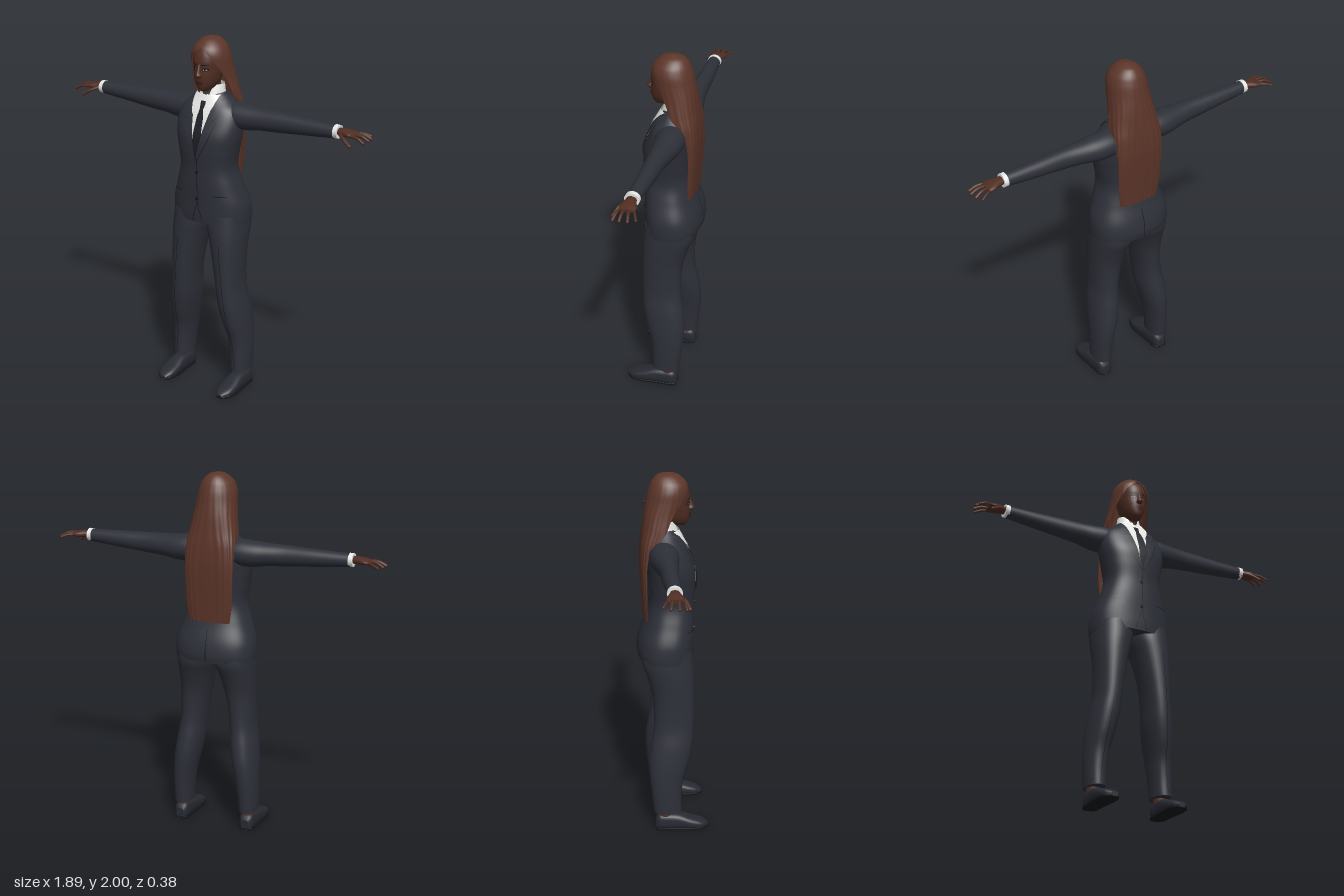
import * as THREE from 'three';

const mat = (name, color, side = THREE.FrontSide) => {
  const m = new THREE.MeshStandardMaterial({ color, side });
  m.name = name;
  return m;
};
const suit = mat('suit cloth', 0x2e3039, THREE.DoubleSide);
const seam = mat('dark seam', 0x15161a, THREE.DoubleSide);
const tieMat = mat('tie cloth', 0x1d1e25, THREE.DoubleSide);
const white = mat('white shirt', 0xe6e6e4, THREE.DoubleSide);
const skin = mat('skin', 0x502e23);
const hairMat = mat('hair', 0x5c3529, THREE.DoubleSide);
const lipMat = mat('lips', 0x3c1d1a, THREE.DoubleSide);
const leather = mat('shoe leather', 0x282a33);
const eyeMat = mat('eye white', 0x8f857d, THREE.DoubleSide);

// Smoothly interpolate section rows: [height, centreX, radiusX, front, back, power, opening]
function sectionAt(rows, t) {
  let i = 0;
  while (i < rows.length - 2 && t > rows[i + 1][0]) i++;
  const a = rows[i], b = rows[i + 1], h = b[0] - a[0];
  const s = Math.min(1, Math.max(0, (t - a[0]) / h));
  const p = rows[Math.max(0, i - 1)], q = rows[Math.min(rows.length - 1, i + 2)];
  return a.map((v, k) => {
    const m0 = (b[k] - p[k]) / (b[0] - p[0]) * h, m1 = (q[k] - v) / (q[0] - v0(a)) * h;
    const s2 = s * s, s3 = s2 * s;
    return v * (2 * s3 - 3 * s2 + 1) + m0 * (s3 - 2 * s2 + s) + b[k] * (3 * s2 - 2 * s3) + m1 * (s3 - s2);
  });
}
function v0(row) { return row[0]; }

// Loft rounded sections along y; an opening angle leaves the front uncovered
function loft(rows, { steps = 40, sides = 36, open = false, cap = true, bump = () => 0 } = {}) {
  const pos = [], idx = [], n = open ? sides + 1 : sides;
  const y0 = rows[0][0], y1 = rows[rows.length - 1][0];
  for (let i = 0; i <= steps; i++) {
    const [y, cx, rx, f, b, p = 2, op = 0] = sectionAt(rows, y0 + (y1 - y0) * i / steps);
    const gap = open ? Math.max(0, op) * Math.PI / 180 : 0;
    for (let j = 0; j < n; j++) {
      const a = gap + (2 * Math.PI - 2 * gap) * j / sides;
      const s = Math.sin(a), c = Math.cos(a), k = 1 + bump(a, y);
      pos.push(cx + k * rx * Math.sign(s) * Math.abs(s) ** (2 / p), y,
        (f + b) / 2 + k * (f - b) / 2 * Math.sign(c) * Math.abs(c) ** (2 / p));
    }
  }
  for (let i = 0; i < steps; i++) for (let j = 0; j < sides; j++) {
    const a = i * n + j, b = i * n + (j + 1) % n;
    idx.push(a, b, a + n, b, b + n, a + n);
  }
  if (cap && !open) for (const i of [0, steps]) {
    const start = pos.length / 3, r = sectionAt(rows, i ? y1 : y0);
    for (let j = 0; j < n; j++) pos.push(...pos.slice((i * n + j) * 3, (i * n + j) * 3 + 3));
    pos.push(r[1], r[0], (r[3] + r[4]) / 2);
    for (let j = 0; j < n; j++) {
      const a = start + j, b = start + (j + 1) % n;
      idx.push(...(i ? [a, b, start + n] : [b, a, start + n]));
    }
  }
  return surface(pos, idx);
}

function surface(pos, idx) {
  const g = new THREE.BufferGeometry();
  g.setAttribute('position', new THREE.Float32BufferAttribute(pos, 3));
  g.setIndex(idx);
  g.computeVertexNormals();
  return g;
}

// Thin plate following a lofted body; edge rows are [y, x0, x1]
function patch(body, edges, off = 0.004, face = 1) {
  const pos = [], idx = [], per = 10, across = 6, n = across + 1;
  const total = (edges.length - 1) * per;
  for (let i = 0; i <= total; i++) {
    const e = Math.min(edges.length - 2, Math.floor(i / per)), s = i / per - e;
    const [y, x0, x1] = edges[e].map((v, k) => v + (edges[e + 1][k] - v) * s);
    const [, cx, rx, f, b, p = 2] = sectionAt(body, y);
    for (let j = 0; j <= across; j++) {
      const x = x0 + (x1 - x0) * j / across, u = Math.min(1, Math.abs((x - cx) / rx));
      pos.push(x, y, (f + b) / 2 + face * ((f - b) / 2 * (1 - u ** p) ** (1 / p) + off));
    }
  }
  for (let i = 0; i < total; i++) for (let j = 0; j < across; j++) {
    const a = i * n + j;
    idx.push(...(face > 0 ? [a, a + 1, a + n, a + 1, a + n + 1, a + n] : [a, a + n, a + 1, a + 1, a + n, a + n + 1]));
  }
  return surface(pos, idx);
}
const line = (body, pts, off = 0.002, w = 0.002, face = 1) =>
  patch(body, pts.map(([y, x]) => [y, x - w, x + w]), off, face);

export function createModel() {
  const root = new THREE.Group();
  root.name = 'womanInSuit';
  const add = (name, geo, m) => {
    const mesh = new THREE.Mesh(geo, m);
    mesh.name = name;
    root.add(mesh);
  };
  const pair = (name, geo, m) => {
    add(name + 'Left', geo, m);
    const g = geo.clone().scale(-1, 1, 1), a = g.index.array;
    for (let i = 0; i < a.length; i += 3) [a[i], a[i + 1]] = [a[i + 1], a[i]];
    add(name + 'Right', g, m);
  };

  // Jacket body
  const torso = [
    [0.99, 0, 0.223, 0.116, -0.182, 2.4], [1.03, 0, 0.225, 0.119, -0.188, 2.4], [1.1, 0, 0.22, 0.121, -0.178, 2.4],
    [1.2, 0, 0.187, 0.125, -0.145, 2.4], [1.3, 0, 0.16, 0.126, -0.122, 2.4], [1.4, 0, 0.172, 0.132, -0.124, 2.4],
    [1.48, 0, 0.186, 0.128, -0.13, 2.4], [1.56, 0, 0.19, 0.1, -0.135, 2.4], [1.62, 0, 0.172, 0.072, -0.13, 2.4],
    [1.66, 0, 0.125, 0.05, -0.115, 2.2], [1.7, 0, 0.08, 0.028, -0.095, 2]];
  add('jacketBody', loft(torso, { steps: 60, sides: 48 }), suit);

  // Shirt, tie and collar
  add('shirtFront', patch(torso, [[1.36, -0.004, 0.004], [1.6, -0.05, 0.05], [1.69, -0.07, 0.07]], 0.002), white);
  add('tie', patch(torso, [[1.35, -0.004, 0.014], [1.45, -0.02, 0.036], [1.58, -0.016, 0.024], [1.62, -0.011, 0.011], [1.66, -0.018, 0.018]], 0.006), tieMat);
  add('shirtCollar', loft([[1.66, 0, 0.078, 0.05, -0.1, 2, 14], [1.7, 0, 0.072, 0.036, -0.092, 2, 18], [1.745, 0, 0.066, 0.02, -0.085, 2, 32]],
    { open: true, steps: 8 }), white);
  pair('collarWing', patch(torso, [[1.59, 0.04, 0.046], [1.64, 0.02, 0.066], [1.695, 0.01, 0.077]], 0.012), white);

  // Lapels and jacket details
  pair('lapel', patch(torso, [[1.36, 0.002, 0.012], [1.45, 0.026, 0.062], [1.56, 0.048, 0.1], [1.57, 0.05, 0.078], [1.6, 0.056, 0.102], [1.68, 0.07, 0.1]], 0.009), suit);
  pair('lapelSeam', line(torso, [[1.36, 0.013], [1.45, 0.064], [1.56, 0.102], [1.57, 0.08], [1.6, 0.104]], 0.006), seam);
  add('frontSeam', line(torso, [[1.1, 0.004], [1.36, 0.004]]), seam);
  pair('frontCutaway', line(torso, [[0.995, 0.032], [1.04, 0.022], [1.1, 0.002]]), seam);
  add('backVent', line(torso, [[0.995, 0], [1.17, 0]], 0.002, 0.002, -1), seam);
  pair('pocketFlap', patch(torso, [[1.125, 0.105, 0.17], [1.155, 0.1, 0.165]], 0.006), suit);
  pair('pocketSeam', patch(torso, [[1.155, 0.1, 0.168], [1.16, 0.1, 0.168]], 0.006), seam);
  for (const y of [1.28, 1.13])
    add('jacketButton', new THREE.CylinderGeometry(0.009, 0.009, 0.008, 16).rotateX(Math.PI / 2).translate(0.002, y, 0.127), seam);

  // Sleeves, cuffs and hands, lofted upright then laid along x
  const sideways = (rows, o) => loft(rows, o).rotateZ(-Math.PI / 2);
  pair('sleeve', sideways([
    [0.08, -1.585, 0.066, 0.03, -0.12, 2], [0.15, -1.585, 0.072, 0.034, -0.125, 2], [0.22, -1.583, 0.07, 0.028, -0.12, 2],
    [0.3, -1.586, 0.061, 0.018, -0.105, 2], [0.4, -1.588, 0.056, 0.01, -0.09, 2], [0.55, -1.592, 0.047, 0.002, -0.084, 2],
    [0.755, -1.598, 0.035, -0.004, -0.074, 2]]), suit);
  pair('shirtCuff', sideways([[0.745, -1.6, 0.036, 0, -0.077], [0.768, -1.6, 0.035, 0, -0.077]], { steps: 3 }), white);
  pair('palm', sideways([
    [0.75, -1.602, 0.018, -0.016, -0.06, 2.2], [0.79, -1.602, 0.02, -0.01, -0.07, 2.2],
    [0.83, -1.6, 0.016, 0.002, -0.085, 2.4], [0.862, -1.598, 0.009, -0.002, -0.084, 2.4]], { steps: 14, sides: 24 }), skin);
  const fingers = [
    [[0.845, 1.598, -0.008], [0.89, 1.595, 0.0], [0.925, 1.578, 0.006]],
    [[0.85, 1.6, -0.03], [0.9, 1.6, -0.03], [0.935, 1.584, -0.03]],
    [[0.85, 1.6, -0.053], [0.895, 1.6, -0.062], [0.93, 1.584, -0.07]],
    [[0.845, 1.598, -0.075], [0.88, 1.597, -0.09], [0.912, 1.586, -0.105]],
    [[0.78, 1.598, -0.02], [0.815, 1.582, 0.008], [0.86, 1.556, 0.026]]];
  fingers.forEach((pts, i) => {
    const curve = new THREE.CatmullRomCurve3(pts.map(p => new THREE.Vector3(...p)));
    const r = i === 4 ? 0.0095 : i === 3 ? 0.0065 : 0.008, name = i === 4 ? 'thumb' : 'finger';
    pair(name, new THREE.TubeGeometry(curve, 8, r, 10), skin);
    pair(name + 'Tip', new THREE.SphereGeometry(r, 10, 8).translate(...pts[2]), skin);
  });

  // Trousers with front creases
  const leg = [
    [0.105, 0.197, 0.05, 0.045, -0.11, 2.2], [0.2, 0.195, 0.055, 0.045, -0.12, 2.2], [0.3, 0.188, 0.061, 0.055, -0.13, 2.2],
    [0.4, 0.175, 0.069, 0.085, -0.134, 2.2], [0.5, 0.161, 0.073, 0.105, -0.122, 2.2], [0.6, 0.149, 0.069, 0.114, -0.106, 2.2],
    [0.7, 0.141, 0.074, 0.117, -0.104, 2.2], [0.8, 0.132, 0.084, 0.118, -0.112, 2.2], [0.9, 0.121, 0.098, 0.117, -0.14, 2.2],
    [0.97, 0.11, 0.109, 0.113, -0.165, 2.2], [1.04, 0.107, 0.108, 0.105, -0.165, 2.2]];
  pair('trouserLeg', loft(leg, { steps: 50 }), suit);
  pair('trouserCrease', line(leg, [[0.12, 0.2], [0.4, 0.176], [0.88, 0.135]], 0.0015, 0.0015), seam);

  // Ankles and shoes, the shoes lofted upright then laid along z
  pair('ankle', loft([[0.05, 0.2, 0.034, -0.01, -0.088], [0.16, 0.2, 0.036, 0, -0.085]], { steps: 4, sides: 20 }), skin);
  const shoe = [
    [-0.1, 0.2, 0.022, 0, -0.062, 3], [-0.085, 0.2, 0.037, 0, -0.088, 3], [-0.03, 0.2, 0.042, 0, -0.092, 3],
    [0.03, 0.2, 0.046, 0, -0.088, 2.8], [0.1, 0.2, 0.051, 0, -0.064, 2.8], [0.16, 0.199, 0.043, 0, -0.043, 2.8], [0.193, 0.195, 0.018, 0, -0.024, 2.8]];
  pair('shoe', loft(shoe, { steps: 30, sides: 28 }).rotateX(Math.PI / 2), leather);
  const sole = shoe.map(([z, cx, rx]) => [z, cx, rx + 0.002, 0, -0.014, 8]);
  pair('sole', loft(sole, { steps: 30, sides: 28 }).rotateX(Math.PI / 2), seam);

  // Neck, head and face
  add('neck', loft([[1.64, 0, 0.062, 0.02, -0.085], [1.7, 0, 0.048, 0.022, -0.075], [1.79, 0, 0.046, 0.03, -0.07]], { steps: 10 }), skin);
  const head = [
    [1.716, 0, 0.018, 0.074, 0.02, 2], [1.728, 0, 0.036, 0.088, -0.02, 2], [1.76, 0, 0.056, 0.096, -0.06, 2.2],
    [1.8, 0, 0.068, 0.1, -0.085, 2.2], [1.84, 0, 0.075, 0.098, -0.095, 2.2], [1.88, 0, 0.077, 0.1, -0.1, 2.2],
    [1.93, 0, 0.07, 0.084, -0.09, 2.2], [1.965, 0, 0.05, 0.05, -0.07, 2], [1.985, 0, 0.015, 0, -0.03, 2]];
  add('head', loft(head), skin);
  add('nose', loft([[1.793, 0, 0.012, 0.112, 0.08], [1.806, 0, 0.018, 0.125, 0.08], [1.82, 0, 0.012, 0.12, 0.08], [1.865, 0, 0.007, 0.102, 0.08]],
    { steps: 14, sides: 16 }), skin);
  add('upperLip', patch(head, [[1.767, -0.026, 0.026], [1.777, -0.01, 0.01]], 0.007), lipMat);
  add('lowerLip', patch(head, [[1.755, -0.013, 0.013], [1.766, -0.025, 0.025]], 0.006), lipMat);
  pair('eyeSocket', patch(head, [[1.83, 0.022, 0.044], [1.838, 0.016, 0.052], [1.848, 0.024, 0.046]], 0.001), seam);
  pair('eye', patch(head, [[1.833, 0.026, 0.04], [1.838, 0.021, 0.046], [1.842, 0.027, 0.041]], 0.002), eyeMat);
  pair('iris', patch(head, [[1.832, 0.03, 0.037], [1.843, 0.03, 0.037]], 0.003), seam);
  pair('eyebrow', patch(head, [[1.86, 0.014, 0.03], [1.866, 0.016, 0.056]], 0.002), seam);

  // Long hair: a closed crown that parts around the face and falls down the back
  const hair = [
    [1.21, 0, 0.122, -0.05, -0.152, 3.6, 112], [1.3, 0, 0.135, -0.05, -0.158, 3.6, 110], [1.5, 0, 0.142, -0.04, -0.168, 3.6, 106],
    [1.62, 0, 0.14, -0.01, -0.164, 3.2, 98], [1.7, 0, 0.13, 0.03, -0.155, 2.6, 78], [1.78, 0, 0.117, 0.055, -0.145, 2.3, 66],
    [1.85, 0, 0.109, 0.085, -0.132, 2.1, 50], [1.9, 0, 0.104, 0.095, -0.122, 2, 34], [1.93, 0, 0.095, 0.091, -0.112, 2, 18],
    [1.953, 0, 0.083, 0.078, -0.102, 2, 0], [1.985, 0, 0.05, 0.042, -0.075, 2, 0], [1.996, 0, 0.025, 0.015, -0.05, 2, 0], [2, 0, 0.002, -0.014, -0.018, 2, 0]];
  add('longHair', loft(hair, { open: true, steps: 80, sides: 96, bump: (a, y) => 0.012 * Math.cos(a * 22) * Math.min(1, (2 - y) * 3) }), hairMat);
  return root;
}
